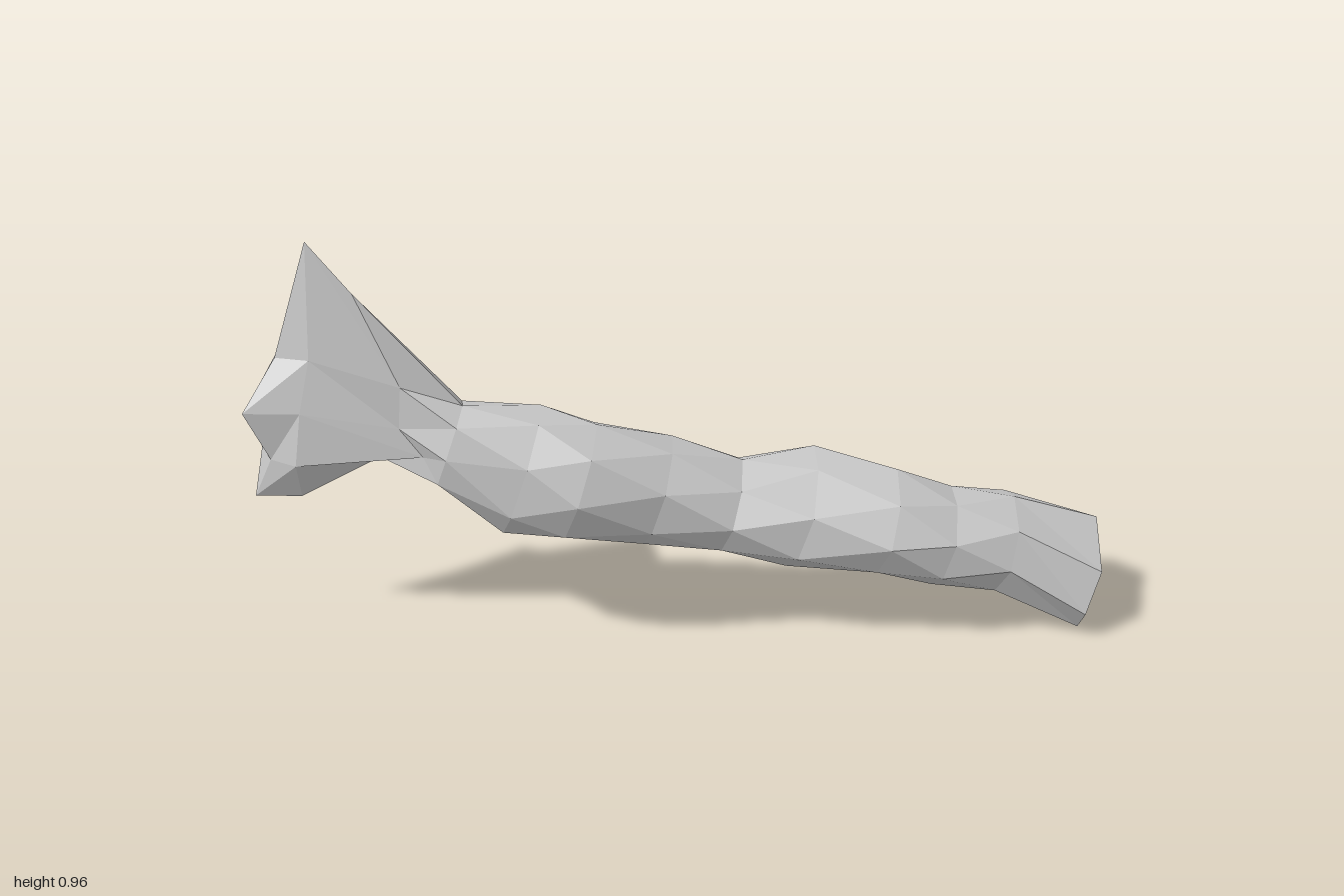
import * as THREE from 'three';

const SIDES = 8;

// Shaft sections: centre x, top y, bottom y, back z, front z, sideways lean of the crest
const SHAFT = [
  [-0.54, 0.60, 0.40, -0.125, 0.06, 0.02],
  [-0.38, 0.565, 0.30, -0.11, 0.11, -0.02],
  [-0.25, 0.54, 0.285, -0.10, 0.15, -0.03],
  [-0.07, 0.47, 0.26, -0.075, 0.12, -0.05],
  [0.10, 0.41, 0.22, -0.10, 0.12, -0.05],
  [0.27, 0.40, 0.175, -0.13, 0.135, -0.06],
  [0.46, 0.38, 0.17, -0.06, 0.18, -0.07],
  [0.60, 0.315, 0.135, -0.035, 0.17, -0.06],
  [0.75, 0.29, 0.09, -0.10, 0.165, -0.04],
];

// Outline of the slanted cut, running front > bottom > back > top
const CUT = [
  [0.965, 0.165, 0.15], [0.925, 0.07, 0.185], [0.92, 0.017, 0.155], [0.93, 0, 0.08],
  [0.955, 0.018, -0.07], [0.96, 0.025, -0.107], [0.985, 0.155, -0.10], [1, 0.213, -0.02],
];

// Splintered end rings, each running top > front > bottom > back
const SPLINTERS = [
  [[-0.86, 0.76, -0.12], [-0.92, 0.69, -0.115], [-1, 0.575, -0.07], [-0.95, 0.455, -0.07],
    [-1, 0.345, -0.10], [-0.96, 0.41, -0.115], [-0.995, 0.57, -0.11], [-0.92, 0.69, -0.13]],
  [[-0.825, 0.965, -0.115], [-0.84, 0.70, -0.07], [-0.87, 0.58, -0.045], [-0.89, 0.455, -0.03],
    [-0.89, 0.355, -0.07], [-0.87, 0.43, -0.125], [-0.86, 0.58, -0.188], [-0.855, 0.69, -0.145]],
  [[-0.73, 0.86, -0.065], [-0.64, 0.65, -0.015], [-0.65, 0.55, -0.01], [-0.60, 0.485, 0.01],
    [-0.70, 0.465, -0.04], [-0.69, 0.49, -0.10], [-0.73, 0.59, -0.155], [-0.72, 0.70, -0.12]],
];

// Soft octagon leaning with the log; every second ring is turned half a step
function shaftRing([x, top, bottom, back, front, lean], index) {
  const soften = (v) => Math.sign(v) * Math.abs(v) ** 0.9;
  const phase = (index % 2) * 0.5;
  const grow = phase ? 1 / soften(Math.cos(Math.PI / SIDES)) : 1;
  const cy = (top + bottom) / 2, cz = (back + front) / 2;
  return Array.from({ length: SIDES }, (_, i) => {
    const a = ((i + phase) / SIDES) * Math.PI * 2;
    const dy = soften(Math.cos(a)) * grow * (top - bottom) / 2;
    const dz = soften(Math.sin(a)) * grow * (front - back) / 2;
    const crest = lean * Math.max(0, Math.cos(a)) ** 2;
    return [x + dy * 0.35 - dz * 0.08, cy + dy, cz + dz + crest];
  });
}

// Joins neighbouring rings with triangles
function loft(rings) {
  const tris = [];
  for (let r = 0; r < rings.length - 1; r++) {
    const a = rings[r], b = rings[r + 1];
    for (let i = 0; i < SIDES; i++) {
      const j = (i + 1) % SIDES;
      if (r % 2 === 0) tris.push(a[i], a[j], b[i], a[j], b[j], b[i]);
      else tris.push(a[i], b[j], b[i], a[i], a[j], b[j]);
    }
  }
  return tris;
}

// Closes a ring with a fan around its middle
function cap(ring, facesRight) {
  const mid = [0, 1, 2].map((k) => ring.reduce((sum, p) => sum + p[k], 0) / SIDES);
  return ring.flatMap((p, i) => {
    const q = ring[(i + 1) % SIDES];
    return facesRight ? [mid, p, q] : [mid, q, p];
  });
}

export function createModel() {
  const group = new THREE.Group();
  group.name = 'brokenLog';
  const material = new THREE.MeshStandardMaterial({ color: 0xcccccc, flatShading: true });

  const add = (name, tris) => {
    const geometry = new THREE.BufferGeometry();
    geometry.setAttribute('position', new THREE.Float32BufferAttribute(tris.flat(), 3));
    geometry.computeVertexNormals();
    const mesh = new THREE.Mesh(geometry, material);
    mesh.name = name;
    group.add(mesh);
  };

  const shaft = SHAFT.map(shaftRing);
  add('shaft', loft([...shaft, CUT]));
  add('cutFace', cap(CUT, true));
  add('splinteredEnd', [...cap(SPLINTERS[0], false), ...loft([...SPLINTERS, shaft[0]])]);

  return group;
}
